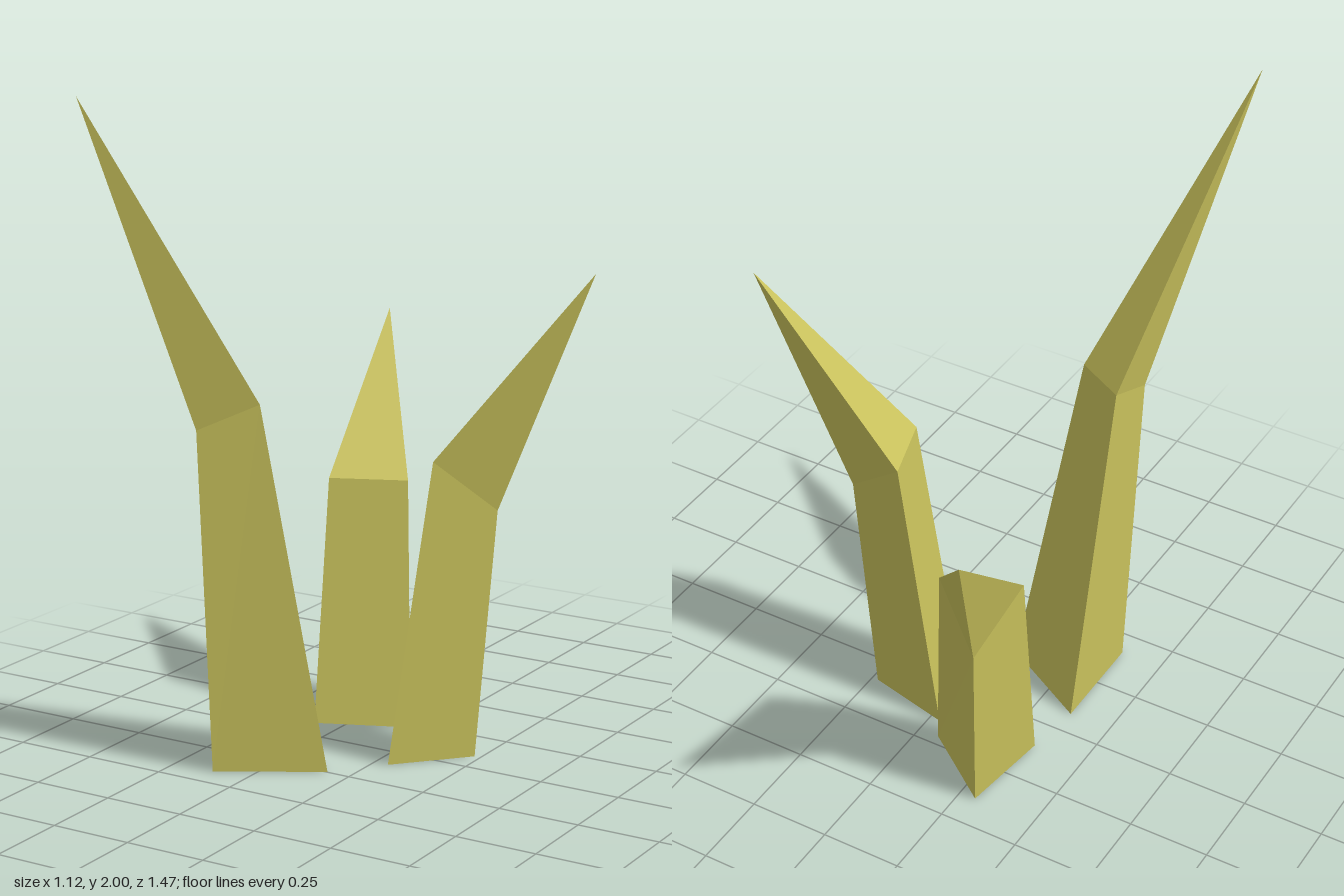
import * as THREE from 'three';

const material = new THREE.MeshStandardMaterial({ color: 0xc9c25c, flatShading: true });

// Three-sided blade: base triangle, bent triangle higher up, then a point
function blade(name, base, bend, tip) {
  const positions = [];
  const face = (...corners) => corners.forEach(p => positions.push(...p));
  face(...base);
  for (let i = 0; i < 3; i++) {
    const j = (i + 1) % 3;
    face(base[j], base[i], bend[i]);
    face(base[j], bend[i], bend[j]);
    face(bend[j], bend[i], tip);
  }
  const geometry = new THREE.BufferGeometry();
  geometry.setAttribute('position', new THREE.Float32BufferAttribute(positions, 3));
  geometry.computeVertexNormals();
  const mesh = new THREE.Mesh(geometry, material);
  mesh.name = name;
  return mesh;
}

export function createModel() {
  const group = new THREE.Group();
  group.name = 'grassTuft';
  group.add(
    // Tall blade leaning forward
    blade('tallBlade',
      [[-0.365, 0, 0.08], [-0.075, 0, 0.247], [-0.365, 0, 0.417]],
      [[-0.385, 1.105, 0.262], [-0.23, 1.105, 0.35], [-0.385, 1.03, 0.445]],
      [-0.56, 2, 0.737]),
    // Middle blade leaning to the left
    blade('middleBlade',
      [[0.046, 0, 0.105], [-0.034, 0, -0.154], [0.23, 0, -0.09]],
      [[0.162, 0.922, 0.045], [0.095, 0.922, -0.17], [0.29, 0.76, -0.11]],
      [0.555, 1.47, -0.193]),
    // Short blade leaning backward
    blade('shortBlade',
      [[-0.065, 0, -0.215], [-0.34, 0, -0.1], [-0.302, 0, -0.393]],
      [[-0.145, 0.743, -0.335], [-0.37, 0.743, -0.24], [-0.33, 0.61, -0.455]],
      [-0.45, 1.183, -0.737])
  );
  return group;
}
